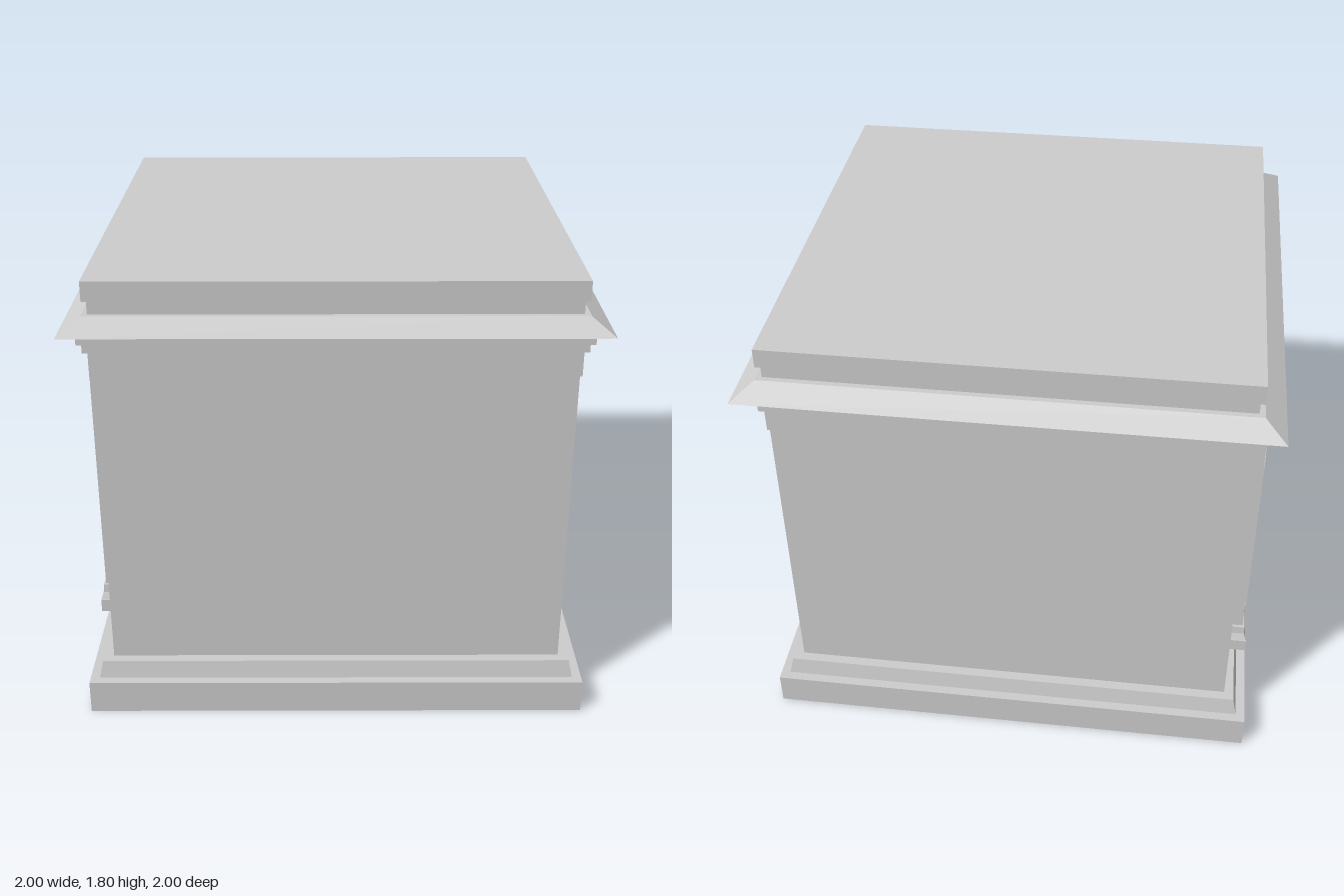
import * as THREE from 'three';

const material = new THREE.MeshStandardMaterial({ color: 0xcccccc, flatShading: true });

function addMesh(parent, name, geometry) {
  const mesh = new THREE.Mesh(geometry, material);
  mesh.name = name;
  parent.add(mesh);
  return mesh;
}

// Square block centred on the axis, with its own half width at bottom and top
function addTier(parent, name, y0, y1, bottom, top = bottom) {
  const geo = new THREE.CylinderGeometry(top * Math.SQRT2, bottom * Math.SQRT2, y1 - y0, 4);
  geo.rotateY(Math.PI / 4).translate(0, (y0 + y1) / 2, 0);
  return addMesh(parent, name, geo);
}

// Block standing against a wall at z = back, tapering on its front and sides
function addWallBlock(parent, name, y0, y1, [w0, d0], [w1, d1], back = 0) {
  const geo = new THREE.BoxGeometry(1, 1, 1);
  const pos = geo.attributes.position;
  for (let i = 0; i < pos.count; i++) {
    const up = pos.getY(i) > 0;
    const w = up ? w1 : w0;
    const d = up ? d1 : d0;
    pos.setXYZ(i, pos.getX(i) * w, up ? y1 : y0, pos.getZ(i) > 0 ? d : back);
  }
  geo.computeVertexNormals();
  return addMesh(parent, name, geo);
}

// Round-headed outline; top is the crown of the arch
function archOutline(path, half, bottom, top) {
  path.moveTo(-half, bottom);
  path.lineTo(half, bottom);
  path.lineTo(half, top - half);
  path.absarc(0, top - half, half, 0, Math.PI, false);
  path.closePath();
  return path;
}

// Pilaster with moulded foot, moulded cap and a raised arched frame, facing +z
function createPilaster() {
  const group = new THREE.Group();
  addWallBlock(group, 'shaft', 0.38, 1.46, [0.455, 0.05], [0.455, 0.05], 0.01);

  // Foot mouldings
  addWallBlock(group, 'footPlinth', 0.27, 0.325, [0.517, 0.07], [0.517, 0.07]);
  addWallBlock(group, 'footSlope', 0.325, 0.352, [0.51, 0.068], [0.486, 0.06]);
  addWallBlock(group, 'footBand', 0.352, 0.387, [0.484, 0.059], [0.478, 0.058]);

  // Cap mouldings
  addWallBlock(group, 'capSlope', 1.457, 1.485, [0.462, 0.054], [0.49, 0.07]);
  addWallBlock(group, 'capSlab', 1.485, 1.52, [0.5, 0.075], [0.5, 0.075]);

  // Arched frame
  const shape = archOutline(new THREE.Shape(), 0.162, 0.457, 1.343);
  shape.holes.push(archOutline(new THREE.Path(), 0.126, 0.492, 1.307));
  const frame = new THREE.ExtrudeGeometry(shape, { depth: 0.015, bevelEnabled: false, curveSegments: 20 });
  addMesh(group, 'archedFrame', frame.translate(0, 0, 0.045));
  return group;
}

export function createModel() {
  const model = new THREE.Group();
  model.name = 'pedestal';

  // Base
  addTier(model, 'plinth', 0, 0.135, 0.987);
  addTier(model, 'baseMoulding', 0.135, 0.205, 0.95, 0.935);

  // Main block
  addTier(model, 'body', 0.205, 1.72, 0.896);

  // Entablature
  addTier(model, 'frieze', 1.43, 1.53, 0.904);
  addTier(model, 'lowerFillet', 1.53, 1.567, 0.921);
  addTier(model, 'upperFillet', 1.567, 1.6, 0.938);
  addTier(model, 'cornice', 1.615, 1.67, 1.0, 0.918);
  addTier(model, 'topSlab', 1.723, 1.8, 0.912);

  // Two pilasters on each side; the left pair stands slightly proud of the wall
  for (const [side, x, turn] of [['right', -0.905, -1], ['left', 0.86, 1]]) {
    for (const [place, z] of [['Front', 0.412], ['Back', -0.455]]) {
      const pilaster = createPilaster();
      pilaster.name = side + place + 'Pilaster';
      pilaster.position.set(x, 0, z);
      pilaster.rotation.y = turn * Math.PI / 2;
      model.add(pilaster);
    }
  }
  return model;
}
